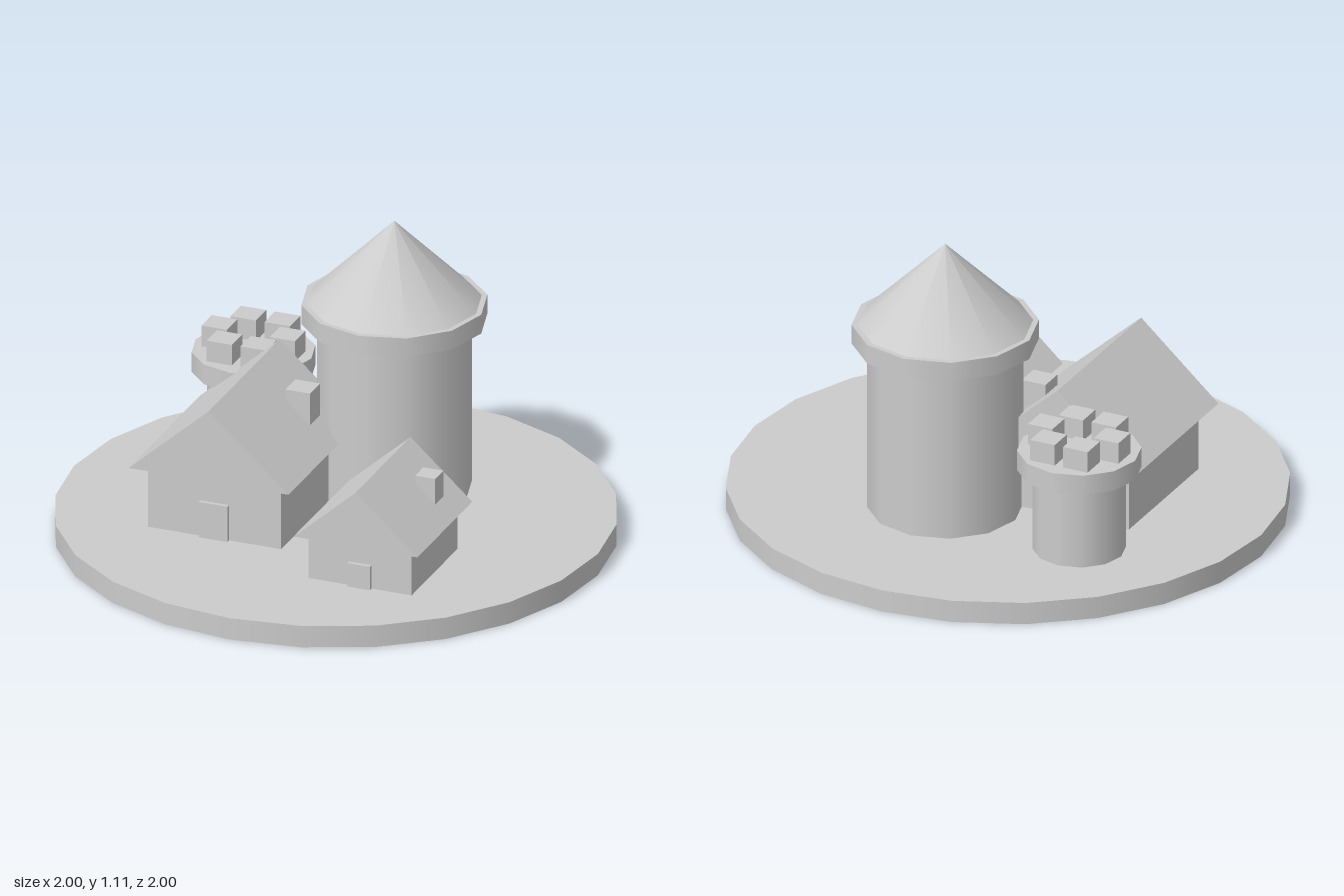
import * as THREE from 'three';

const stone = new THREE.MeshStandardMaterial({ color: 0xcccccc });
stone.name = 'pale grey';

const GROUND = 0.083;

function add(parent, name, geometry, x, y, z) {
  const mesh = new THREE.Mesh(geometry, stone);
  mesh.name = name;
  mesh.position.set(x, y, z);
  parent.add(mesh);
  return mesh;
}

// Box and cylinder placed by their bottom and top heights
function box(parent, name, w, d, x, z, y0, y1) {
  return add(parent, name, new THREE.BoxGeometry(w, y1 - y0, d), x, (y0 + y1) / 2, z);
}
function drum(parent, name, rTop, rBottom, sides, x, z, y0, y1) {
  const geometry = new THREE.CylinderGeometry(rTop, rBottom, y1 - y0, sides);
  return add(parent, name, geometry, x, (y0 + y1) / 2, z);
}

// Gabled house: walls, solid overhanging roof, door and chimney
function house(name, { x, z, w, d, eave, ridge, door, chimney }) {
  const group = new THREE.Group();
  group.name = name;
  box(group, 'walls', w / 1.2, d / 1.2, x, z, GROUND, eave);

  const gable = new THREE.Shape();
  gable.moveTo(-w / 2, 0);
  gable.lineTo(w / 2, 0);
  gable.lineTo(0, ridge - eave);
  gable.closePath();
  const roof = new THREE.ExtrudeGeometry(gable, { depth: d, bevelEnabled: false });
  add(group, 'roof', roof, x, eave, z - d / 2);

  box(group, 'door', door.w, 0.03, x, z + d / 2.4, GROUND, door.top);
  box(group, 'chimney', chimney.size, chimney.size, chimney.x, chimney.z, chimney.y0, chimney.y1);
  return group;
}

export function createModel() {
  const model = new THREE.Group();
  model.name = 'village';

  // Round island
  drum(model, 'base', 1, 1, 24, 0, 0, 0, GROUND);

  // Tall tower with collar and conical roof
  const keep = new THREE.Group();
  keep.name = 'tallTower';
  drum(keep, 'body', 0.277, 0.277, 12, 0.11, -0.277, GROUND, 0.73);
  drum(keep, 'collar', 0.332, 0.332, 12, 0.11, -0.277, 0.727, 0.8);
  drum(keep, 'coneRoof', 0, 0.312, 12, 0.11, -0.277, 0.8, 1.108);
  model.add(keep);

  // Small tower with a ring of merlons
  const turret = new THREE.Group();
  turret.name = 'smallTower';
  const tx = -0.468, tz = -0.375;
  drum(turret, 'body', 0.166, 0.166, 12, tx, tz, GROUND, 0.395);
  drum(turret, 'parapet', 0.221, 0.221, 12, tx, tz, 0.394, 0.47);
  for (let i = 0; i < 6; i++) {
    const a = (i * Math.PI) / 3;
    box(turret, 'merlon', 0.097, 0.097, tx + 0.13 * Math.cos(a), tz + 0.13 * Math.sin(a), 0.465, 0.55);
  }
  model.add(turret);

  model.add(house('largeHouse', {
    x: -0.307, z: 0.108, w: 0.61, d: 0.665, eave: 0.326, ridge: 0.598,
    door: { w: 0.111, top: 0.22 },
    chimney: { size: 0.094, x: -0.137, z: -0.025, y0: 0.36, y1: 0.528 },
  }));
  model.add(house('smallHouse', {
    x: 0.327, z: 0.362, w: 0.472, d: 0.515, eave: 0.255, ridge: 0.466,
    door: { w: 0.086, top: 0.174 },
    chimney: { size: 0.077, x: 0.46, z: 0.256, y0: 0.28, y1: 0.412 },
  }));

  return model;
}
